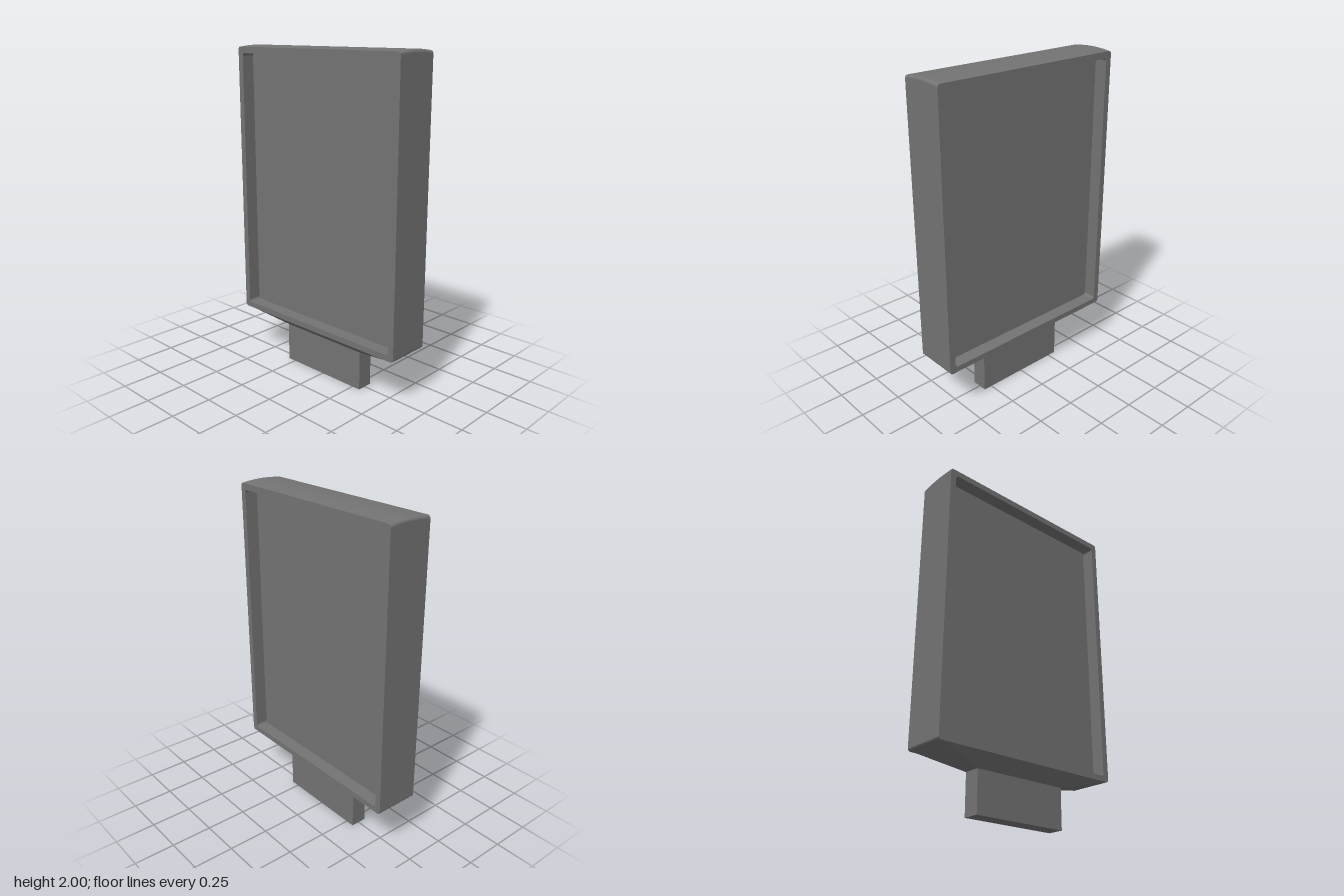
import * as THREE from 'three';
import { toCreasedNormals } from 'three/addons/utils/BufferGeometryUtils.js';

const HALF_W = 0.136;   // half thickness of the cabinet (x)
const HALF_L = 0.623;   // half length of the cabinet (z)
const BOTTOM = 0.312;
const TOP = 2;
const POST_TOP = 0.243;

// Rounded rectangle, centred on x = 0, from y0 to y1
function roundedRect(path, half, y0, y1, r) {
  path.moveTo(half, y0 + r);
  path.lineTo(half, y1 - r);
  path.absarc(half - r, y1 - r, r, 0, Math.PI / 2);
  path.lineTo(-half + r, y1);
  path.absarc(-half + r, y1 - r, r, Math.PI / 2, Math.PI);
  path.lineTo(-half, y0 + r);
  path.absarc(-half + r, y0 + r, r, Math.PI, Math.PI * 1.5);
  path.lineTo(half - r, y0);
  path.absarc(half - r, y0 + r, r, Math.PI * 1.5, Math.PI * 2);
  return path;
}

// Cabinet ring, open on both broad sides, with a slightly crowned top
function frameGeometry() {
  const shape = roundedRect(new THREE.Shape(), HALF_L, BOTTOM, TOP, 0.018);
  shape.holes.push(roundedRect(new THREE.Path(), 0.585, 0.347, 1.952, 0.018));
  const geo = new THREE.ExtrudeGeometry(shape, {
    depth: 2 * HALF_W, steps: 10, bevelEnabled: false, curveSegments: 3,
  });
  geo.translate(0, 0, -HALF_W);
  geo.rotateY(Math.PI / 2);
  const p = geo.attributes.position;
  for (let i = 0; i < p.count; i++) {
    const y = p.getY(i);
    if (y > 1.96) p.setY(i, y - 0.01 * (p.getX(i) / HALF_W) ** 2);
  }
  // small crease angle: flat sides stay flat, only the crown is smoothed
  return toCreasedNormals(geo, 0.1);
}

// Box whose lower rim is drawn in to the size of the post
function taperGeometry() {
  const h = BOTTOM + 0.004 - POST_TOP;
  const geo = new THREE.BoxGeometry(2 * HALF_W, h, 1.21);
  const p = geo.attributes.position;
  for (let i = 0; i < p.count; i++) {
    if (p.getY(i) < 0) {
      p.setX(i, Math.sign(p.getX(i)) * 0.05);
      p.setZ(i, Math.sign(p.getZ(i)) * 0.305);
    }
  }
  geo.translate(0, POST_TOP + h / 2, 0);
  geo.computeVertexNormals();
  return geo;
}

export function createModel() {
  const group = new THREE.Group();
  const darkGrey = new THREE.MeshStandardMaterial({ color: 0x737373 });
  const add = (name, geo) => {
    const mesh = new THREE.Mesh(geo, darkGrey);
    mesh.name = name;
    group.add(mesh);
    return mesh;
  };

  add('cabinetFrame', frameGeometry());

  // Display surfaces set back from both broad sides
  add('displayPanel', new THREE.BoxGeometry(0.11, 1.62, 1.18)).position.y = 1.15;

  add('taperedNeck', taperGeometry());
  add('post', new THREE.BoxGeometry(0.1, POST_TOP, 0.61)).position.y = POST_TOP / 2;

  return group;
}
